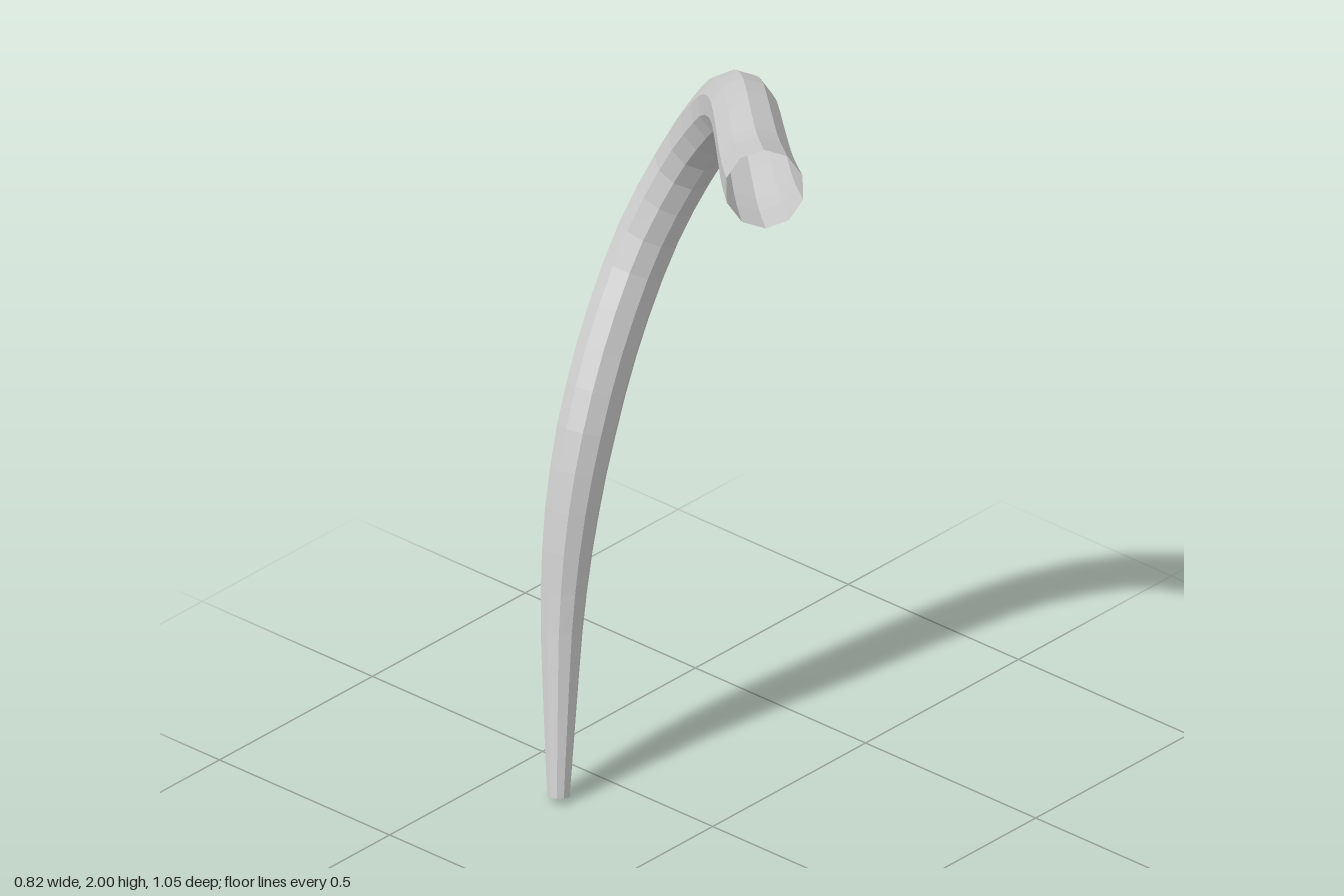
import * as THREE from 'three';

// Centreline stations from the wide open end down to the tip: x, y, z, radius
const STATIONS = [
  [-0.345, 1.918, 0.463, 0.088],
  [-0.19, 1.845, 0.3, 0.083],
  [-0.04, 1.803, 0.145, 0.078],
  [0.1, 1.756, 0.0, 0.075],
  [0.21, 1.68, -0.125, 0.073],
  [0.285, 1.59, -0.225, 0.072],
  [0.34, 1.4, -0.372, 0.071],
  [0.287, 1.2, -0.447, 0.07],
  [0.185, 1.0, -0.459, 0.069],
  [0.09, 0.8, -0.449, 0.067],
  [0.022, 0.6, -0.436, 0.06],
  [-0.032, 0.4, -0.412, 0.049],
  [-0.085, 0.2, -0.372, 0.037],
  [-0.137, 0.008, -0.33, 0.025],
];
const SIDES = 10;
const RINGS = 30;

// Open tube whose rings are scaled about the centreline to taper
function taperedTube() {
  const curve = new THREE.CatmullRomCurve3(
    STATIONS.map(([x, y, z]) => new THREE.Vector3(x, y, z)), false, 'centripetal');
  const geometry = new THREE.TubeGeometry(curve, RINGS, 1, SIDES, false);
  const position = geometry.attributes.position;
  const v = new THREE.Vector3();
  const last = STATIONS.length - 1;
  for (let i = 0; i <= RINGS; i++) {
    const u = i / RINGS;
    const centre = curve.getPointAt(u);
    const s = curve.getUtoTmapping(u) * last;
    const k = Math.min(Math.floor(s), last - 1);
    const radius = THREE.MathUtils.lerp(STATIONS[k][3], STATIONS[k + 1][3], s - k);
    for (let j = 0; j <= SIDES; j++) {
      const n = i * (SIDES + 1) + j;
      v.fromBufferAttribute(position, n).sub(centre).multiplyScalar(radius).add(centre);
      position.setXYZ(n, v.x, v.y, v.z);
    }
  }
  geometry.computeVertexNormals();
  return geometry;
}

export function createModel() {
  const group = new THREE.Group();
  group.name = 'curvedHorn';

  const grey = new THREE.MeshStandardMaterial({
    color: 0xcccccc, flatShading: true, side: THREE.DoubleSide,
  });
  grey.name = 'light grey';

  // Hollow curved horn, open at both ends
  const horn = new THREE.Mesh(taperedTube(), grey);
  horn.name = 'hornTube';
  group.add(horn);
  return group;
}
